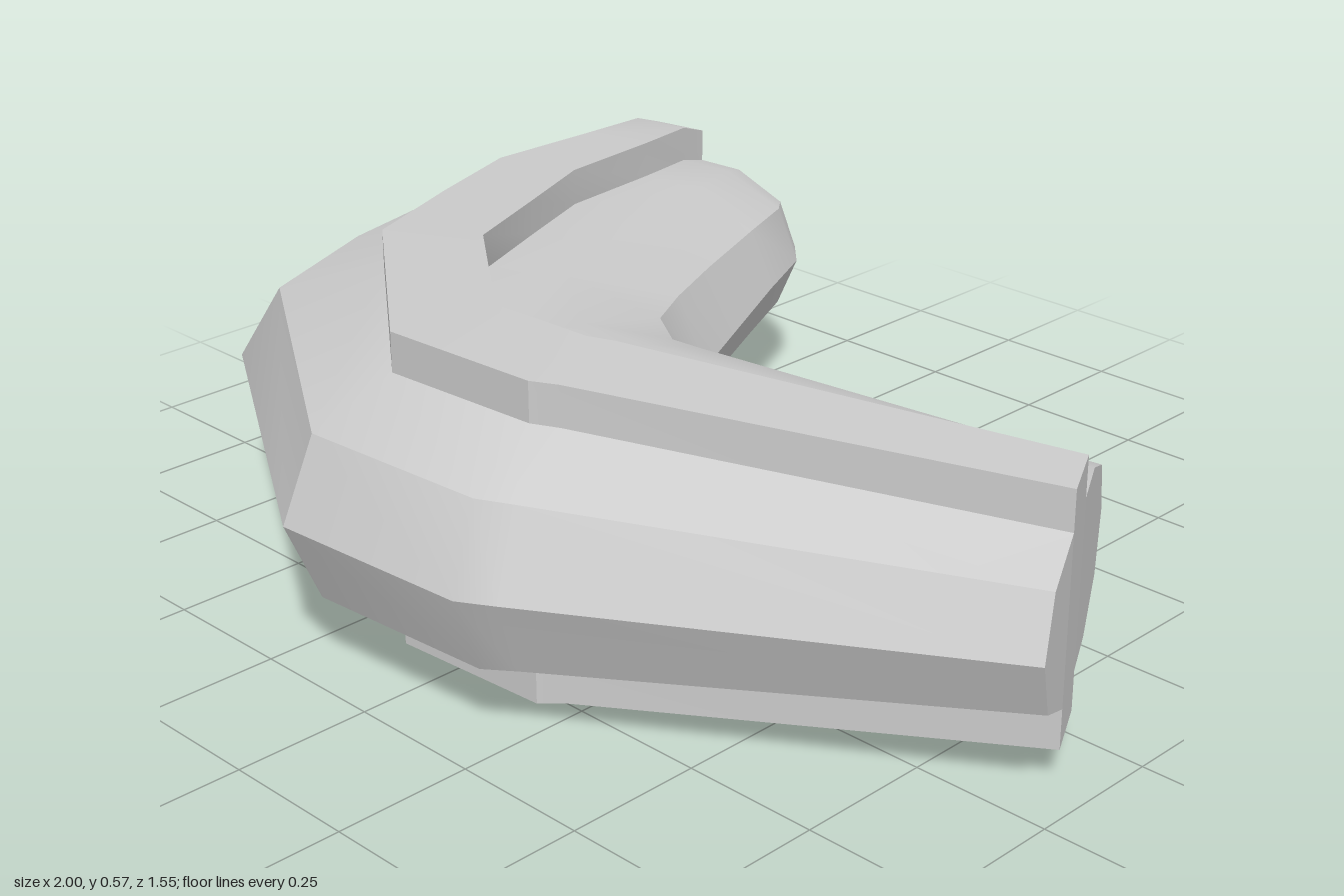
import * as THREE from 'three';
import { toCreasedNormals } from 'three/addons/utils/BufferGeometryUtils.js';

const MID = 0.287; // height of the plane of symmetry

// Stations along the bend, in plan [x, z]:
// outer edge, ridge outer side, ridge inner side, inner edge, body half height, ridge half height
const STATIONS = [
  [[1.0, 0.275], [0.94, 0.14], [0.88, 0.03], [0.74, -0.215], 0.15, 0.222],
  [[0.29, 0.71], [0.22, 0.505], [0.15, 0.32], [0.06, -0.075], 0.21, 0.283],
  [[0.23, 0.745], [0.18, 0.535], [0.11, 0.345], [0.02, -0.065], 0.215, 0.287],
  [[-0.16, 0.77], [-0.13, 0.555], [-0.1, 0.355], [-0.02, -0.06], 0.215, 0.287],
  [[-0.8, 0.38], [-0.55, 0.23], [-0.4, 0.12], [-0.08, -0.095], 0.205, 0.272],
  [[-0.94, 0.07], [-0.66, -0.01], [-0.5, -0.09], [-0.14, -0.19], 0.195, 0.262],
  [[-1.0, -0.15], [-0.76, -0.24], [-0.6, -0.29], [-0.22, -0.35], 0.18, 0.25],
  [[-0.968, -0.48], [-0.79, -0.5], [-0.655, -0.54], [-0.33, -0.57], 0.165, 0.235],
  [[-0.965, -0.62], [-0.812, -0.67], [-0.695, -0.69], [-0.4, -0.72], 0.155, 0.225],
  [[-0.94, -0.71], [-0.82, -0.74], [-0.71, -0.76], [-0.46, -0.78], 0.135, 0.2],
];

const mix = (a, b, t) => [a[0] + (b[0] - a[0]) * t, a[1] + (b[1] - a[1]) * t];

// Closed cross-section: upper half from outer to inner edge, then its mirror below
function section([outer, ridgeOut, ridgeIn, inner, body, ridge]) {
  const upper = [
    [outer, 0],
    [mix(outer, ridgeOut, 0.29), body * 0.69],
    [ridgeOut, body],
    [ridgeOut, ridge],
    [ridgeIn, ridge],
    [ridgeIn, body],
    [mix(ridgeIn, inner, 0.4), body],
    [mix(inner, ridgeIn, 0.16), body * 0.66],
    [inner, 0],
  ];
  const lower = upper.slice(1, -1).reverse().map(([p, h]) => [p, -h]);
  return [...upper, ...lower].map(([p, h]) => [p[0], MID + h, p[1]]);
}

function loftGeometry(rings) {
  const positions = [];
  const quad = (a, b, c, d) => positions.push(...a, ...b, ...c, ...a, ...c, ...d);
  const n = rings[0].length;

  // Skin
  for (let s = 0; s < rings.length - 1; s++) {
    for (let k = 0; k < n; k++) {
      const k2 = (k + 1) % n;
      quad(rings[s][k], rings[s][k2], rings[s + 1][k2], rings[s + 1][k]);
    }
  }

  // Flat ends, in strips between the upper and lower halves
  const cap = (ring, flip) => {
    for (let k = 0; k < n / 2; k++) {
      if (k === 2 || k === 4) continue; // upright ridge sides have no width
      const corners = [ring[k], ring[k + 1], ring[n - k - 1], ring[(n - k) % n]];
      if (flip) corners.reverse();
      // Pointed strips at both edges are single triangles
      if (k === 0) positions.push(...corners.filter((c, i) => i !== (flip ? 0 : 3)).flat());
      else if (k === n / 2 - 1) positions.push(...corners.filter((c, i) => i !== (flip ? 1 : 2)).flat());
      else quad(...corners);
    }
  };
  cap(rings[0], true);
  cap(rings[rings.length - 1], false);

  const geometry = new THREE.BufferGeometry();
  geometry.setAttribute('position', new THREE.Float32BufferAttribute(positions, 3));
  return toCreasedNormals(geometry, 0.55);
}

export function createModel() {
  const group = new THREE.Group();
  group.name = 'bentRidgedTube';
  const material = new THREE.MeshStandardMaterial({ color: 0xcccccc });
  const tube = new THREE.Mesh(loftGeometry(STATIONS.map(section)), material);
  tube.name = 'ridgedElbow';
  group.add(tube);
  return group;
}
